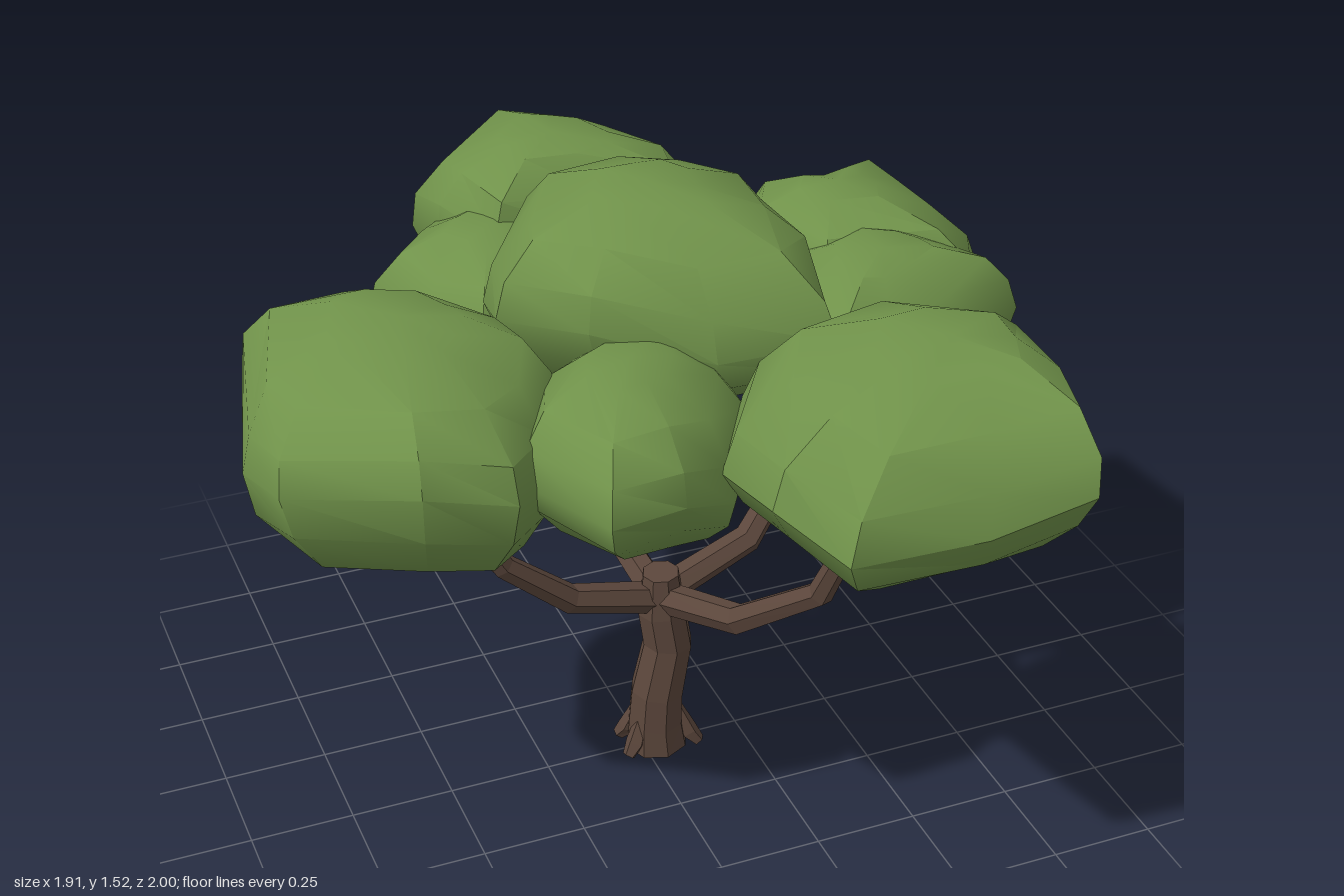
import * as THREE from 'three';
import { toCreasedNormals } from 'three/addons/utils/BufferGeometryUtils.js';

const leafMat = new THREE.MeshStandardMaterial({ color: 0x70924a });
const barkMat = new THREE.MeshStandardMaterial({ color: 0x5c473c, flatShading: true });
const V = (p) => new THREE.Vector3(...p);

// Faceted skin over rings of equal vertex count (verts: flat xyz list, one ring after another)
function skin(verts, sides, flip) {
  const index = [];
  for (let i = 0; i < verts.length / 3 / sides - 1; i++) {
    for (let j = 0; j < sides; j++) {
      const k = (j + 1) % sides;
      const a = i * sides + j, b = i * sides + k, c = b + sides, d = a + sides;
      if (flip) index.push(a, c, b, a, d, c);
      else index.push(a, b, c, a, c, d);
    }
  }
  const geo = new THREE.BufferGeometry();
  geo.setAttribute('position', new THREE.Float32BufferAttribute(verts, 3));
  geo.setIndex(index);
  return geo.toNonIndexed();
}

// Foliage clump: plan outline [x, z] swept through a rounded profile from y = lo to hi.
// top and base are plan positions of the two poles, power = [upper, lower] boxiness.
function clump({ outline, lo, mid, hi, top, base, power, seed }) {
  const n = outline.length;
  const cx = outline.reduce((s, p) => s + p[0], 0) / n;
  const cz = outline.reduce((s, p) => s + p[1], 0) / n;
  const verts = [];
  for (const v of [-1, -0.95, -0.7, -0.35, 0, 0.35, 0.7, 0.95, 1]) {
    const e = v > 0 ? power[0] : power[1];
    const scale = (1 - Math.abs(v) ** e) ** (1 / e);
    const pole = v > 0 ? top : base;
    const lean = v * v;
    const x0 = cx + (pole[0] - cx) * lean, z0 = cz + (pole[1] - cz) * lean;
    const y0 = mid + v * (v > 0 ? hi - mid : mid - lo);
    outline.forEach(([x, z], j) => {
      const lump = Math.sin(j * 2.3 + v * 5.1 + seed * 1.7);
      const s = scale * (1 - Math.abs(v) * 0.05 * (1 + lump));
      const y = y0 + 0.04 * (1 - v * v) * Math.sin(j * 1.9 + seed * 2.9);
      verts.push(x0 + (x - cx) * s, y, z0 + (z - cz) * s);
    });
  }
  return toCreasedNormals(skin(verts, n, true), 0.6);
}

// Tapering limb: stations are [x, y, z, radius], closed at both ends
function limb(stations, sides) {
  const pts = stations.map((s) => V(s.slice(0, 3)));
  const last = pts.length - 1;
  const verts = [];
  let u = null;
  pts.forEach((p, i) => {
    const t = pts[Math.min(i + 1, last)].clone().sub(pts[Math.max(i - 1, 0)]).normalize();
    if (!u) u = Math.abs(t.x) < 0.7 ? V([1, 0, 0]) : V([0, 0, 1]);
    u.addScaledVector(t, -u.dot(t)).normalize();
    const v = t.clone().cross(u);
    const ring = (r) => {
      for (let j = 0; j < sides; j++) {
        const a = (j / sides) * Math.PI * 2;
        const q = p.clone().addScaledVector(u, Math.cos(a) * r).addScaledVector(v, Math.sin(a) * r);
        verts.push(q.x, q.y, q.z);
      }
    };
    if (i === 0) ring(0);
    ring(stations[i][3]);
    if (i === last) ring(0);
  });
  const geo = skin(verts, sides, false);
  geo.computeVertexNormals();
  return geo;
}

export function createModel() {
  const tree = new THREE.Group();
  tree.name = 'tree';
  const add = (name, geo, mat) => {
    const mesh = new THREE.Mesh(geo, mat);
    mesh.name = name;
    tree.add(mesh);
  };

  // Trunk with a gentle bend
  add('trunk', limb([
    [0.035, 0, 0.005, 0.078], [0.03, 0.07, 0.008, 0.07], [0.034, 0.16, 0.01, 0.067],
    [0.06, 0.3, 0.012, 0.062], [0.045, 0.4, 0.01, 0.06], [0.04, 0.51, 0.015, 0.045],
  ], 8), barkMat);

  // Root flares around the base
  const mix = THREE.MathUtils.lerp;
  [[0.13, 0.05], [-0.055, 0.045], [0.06, -0.11], [-0.045, -0.05]].forEach(([x, z]) => {
    add('root', limb([
      [x, 0, z, 0.016],
      [mix(x, 0.035, 0.25), 0.03, mix(z, 0.005, 0.25), 0.025],
      [mix(x, 0.035, 0.6), 0.12, mix(z, 0.005, 0.6), 0.014],
    ], 5), barkMat);
  });

  // Four main branches reaching into the crown
  const branches = {
    rightBranch: [[0.05, 0.43, 0.01, 0.04], [-0.2, 0.51, 0.04, 0.036],
      [-0.37, 0.66, 0.06, 0.03], [-0.47, 0.83, 0.07, 0.023], [-0.5, 0.9, 0.08, 0.015]],
    leftBranch: [[0.03, 0.43, 0, 0.04], [0.29, 0.51, -0.04, 0.036],
      [0.42, 0.66, -0.09, 0.03], [0.52, 0.85, -0.13, 0.023], [0.54, 0.92, -0.14, 0.015]],
    frontBranch: [[0.04, 0.43, 0, 0.04], [0.14, 0.5, 0.25, 0.037],
      [0.26, 0.66, 0.43, 0.031], [0.31, 0.92, 0.53, 0.022], [0.32, 0.97, 0.55, 0.015]],
    backBranch: [[0.04, 0.43, 0.02, 0.04], [0.01, 0.5, -0.26, 0.036],
      [-0.02, 0.67, -0.45, 0.03], [-0.01, 0.86, -0.56, 0.023], [0, 0.93, -0.59, 0.015]],
  };
  for (const [name, stations] of Object.entries(branches)) add(name, limb(stations, 6), barkMat);

  // Thin pointed twigs
  [
    [[-0.38, 0.66, 0.06, 0.018], [-0.46, 0.73, 0.02, 0.012], [-0.55, 0.8, -0.02, 0.002]],
    [[0.43, 0.66, -0.09, 0.018], [0.53, 0.74, -0.06, 0.012], [0.63, 0.83, -0.02, 0.002]],
    [[-0.02, 0.68, -0.45, 0.018], [-0.08, 0.76, -0.53, 0.012], [-0.16, 0.86, -0.65, 0.002]],
  ].forEach((s) => add('twig', limb(s, 5), barkMat));

  // Foliage clumps
  const clumps = {
    topFoliage: { lo: 1.03, mid: 1.26, hi: 1.51, top: [0.03, -0.06], base: [0.03, -0.03],
      power: [2.1, 2], seed: 1,
      outline: [[-0.35, 0.01], [-0.32, -0.17], [-0.16, -0.39], [0.08, -0.41], [0.3, -0.42],
        [0.4, -0.2], [0.37, 0.1], [0.33, 0.33], [0.05, 0.31], [-0.2, 0.19]] },
    backFoliage: { lo: 0.86, mid: 1.14, hi: 1.39, top: [0.01, -0.62], base: [0.03, -0.62],
      power: [2.4, 1.8], seed: 2,
      outline: [[-0.3, -0.78], [-0.03, -1], [0.14, -0.95], [0.29, -0.87], [0.36, -0.57],
        [0.34, -0.42], [0.1, -0.38], [-0.22, -0.4], [-0.29, -0.6]] },
    backInnerFoliage: { lo: 0.86, mid: 1.06, hi: 1.28, top: [-0.22, -0.42], base: [-0.22, -0.4],
      power: [2.3, 2], seed: 3,
      outline: [[-0.51, -0.46], [-0.36, -0.66], [-0.28, -0.71], [0, -0.65], [0.08, -0.4],
        [0, -0.12], [-0.33, -0.15], [-0.44, -0.28]] },
    rightFoliage: { lo: 0.8, mid: 1.12, hi: 1.35, top: [-0.58, 0.05], base: [-0.57, 0.13],
      power: [2.5, 2.2], seed: 4,
      outline: [[-0.96, 0.13], [-0.87, -0.21], [-0.65, -0.26], [-0.4, -0.17], [-0.29, 0.05],
        [-0.27, 0.21], [-0.35, 0.37], [-0.47, 0.5], [-0.67, 0.48], [-0.92, 0.28]] },
    frontInnerFoliage: { lo: 0.86, mid: 1.06, hi: 1.29, top: [-0.15, 0.3], base: [-0.12, 0.32],
      power: [2.3, 2], seed: 5,
      outline: [[-0.43, 0.4], [-0.35, 0.15], [-0.1, 0.03], [0.1, 0.12], [0.12, 0.35],
        [0, 0.53], [-0.14, 0.6], [-0.31, 0.61]] },
    frontFoliage: { lo: 0.91, mid: 1.14, hi: 1.4, top: [0.43, 0.64], base: [0.4, 0.64],
      power: [2.4, 1.9], seed: 6,
      outline: [[-0.03, 0.52], [0.1, 0.33], [0.37, 0.28], [0.71, 0.46], [0.66, 0.75],
        [0.59, 1], [0.36, 0.98], [0.06, 0.96], [-0.04, 0.8]] },
    leftBackFoliage: { lo: 0.9, mid: 1.1, hi: 1.34, top: [0.58, -0.22], base: [0.66, -0.23],
      power: [2, 2.2], seed: 7,
      outline: [[0.33, -0.27], [0.47, -0.51], [0.62, -0.47], [0.85, -0.49], [0.88, -0.32],
        [0.95, -0.18], [0.84, 0.05], [0.45, 0.02]] },
    leftFrontFoliage: { lo: 0.84, mid: 1.07, hi: 1.3, top: [0.56, 0.06], base: [0.56, 0.03],
      power: [2.3, 2], seed: 8,
      outline: [[0.28, 0.05], [0.35, -0.16], [0.6, -0.25], [0.8, -0.18], [0.89, -0.05],
        [0.89, 0.12], [0.7, 0.25], [0.46, 0.35], [0.33, 0.32]] },
  };
  for (const [name, spec] of Object.entries(clumps)) add(name, clump(spec), leafMat);

  return tree;
}
